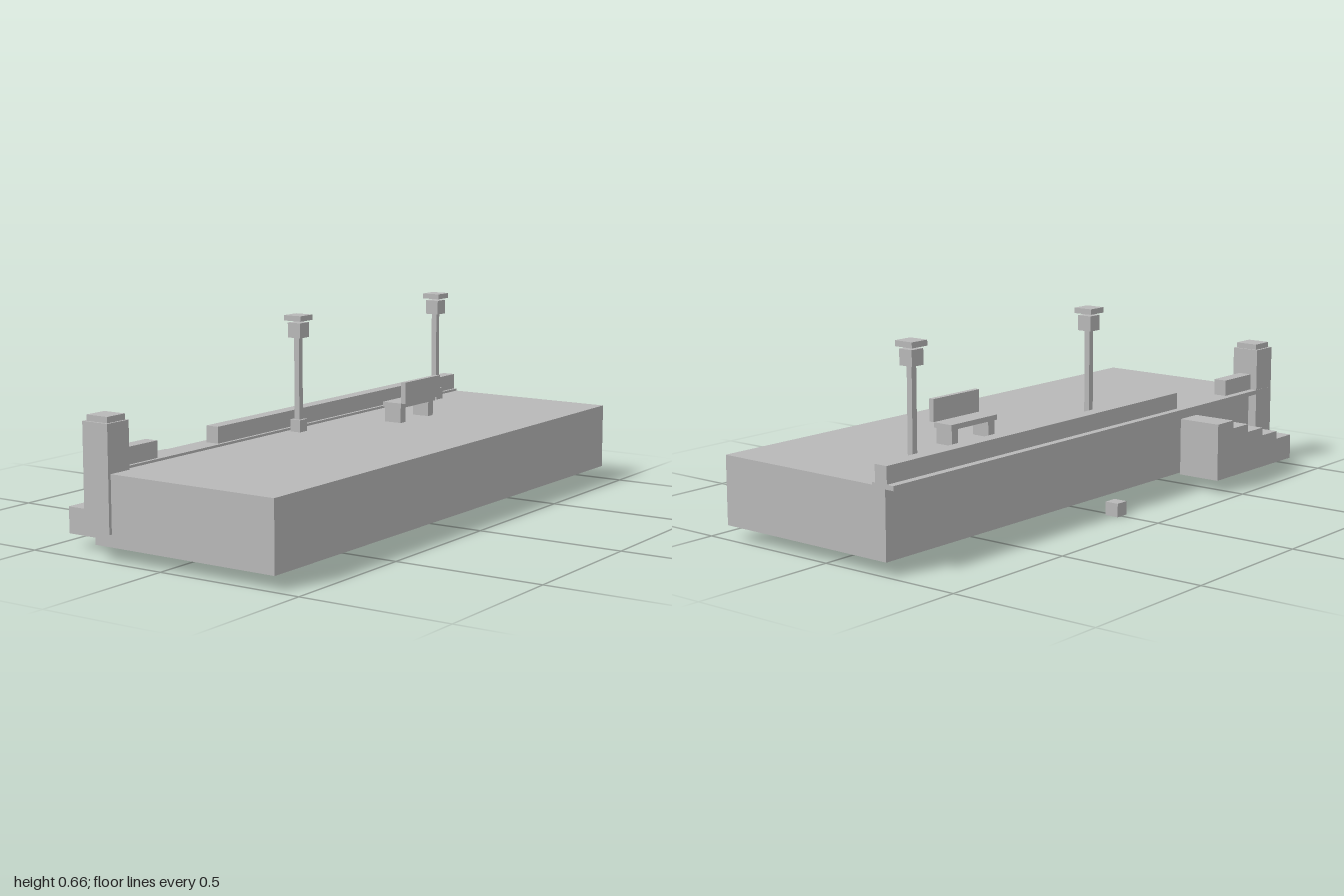
import * as THREE from 'three';

export function createModel() {
  const model = new THREE.Group();
  model.name = 'promenade';
  const stone = new THREE.MeshStandardMaterial({ color: 0xb8b8b8 });
  stone.name = 'grey stone';

  // Everything shares one very slight turn about the vertical axis
  const site = new THREE.Group();
  site.name = 'site';
  site.rotation.y = -0.01;
  model.add(site);

  // Box given by its limits on each axis
  function block(parent, name, [x0, x1], [y0, y1], [z0, z1]) {
    const mesh = new THREE.Mesh(new THREE.BoxGeometry(x1 - x0, y1 - y0, z1 - z0), stone);
    mesh.position.set((x0 + x1) / 2, (y0 + y1) / 2, (z0 + z1) / 2);
    mesh.name = name;
    parent.add(mesh);
    return mesh;
  }
  const around = (c, w) => [c - w / 2, c + w / 2];

  // Quay slab with overhanging coping and a broken parapet
  block(site, 'quaySlab', [-0.255, 0.42], [0.045, 0.269], [-0.998, 0.987]);
  block(site, 'coping', [-0.288, -0.204], [0.262, 0.277], [-0.998, 0.985]);
  block(site, 'longParapet', [-0.262, -0.215], [0.277, 0.332], [-0.998, 0.442]);
  block(site, 'shortParapet', [-0.262, -0.215], [0.277, 0.332], [0.74, 0.91]);

  // Corner pillar with cap
  block(site, 'pillar', [-0.287, -0.188], [0.085, 0.422], [0.902, 0.998]);
  block(site, 'pillarCap', [-0.278, -0.196], [0.422, 0.441], [0.909, 0.989]);

  // Stairs rising towards the back, as one stepped profile
  const zFront = 0.917, tread = 0.0926, steps = 5;
  const profile = new THREE.Shape();
  profile.moveTo(-zFront, 0.045);
  for (let i = 0; i < steps; i++) {
    const y = 0.13 + i * 0.0275;
    profile.lineTo(-zFront + i * tread, y);
    profile.lineTo(-zFront + (i + 1) * tread, y);
  }
  profile.lineTo(-zFront + steps * tread, 0.045);
  const stairs = new THREE.Mesh(
    new THREE.ExtrudeGeometry(profile, { depth: 0.154, bevelEnabled: false }), stone);
  stairs.name = 'stairs';
  stairs.rotation.y = Math.PI / 2;
  stairs.position.x = -0.425;
  site.add(stairs);

  // Small loose block beside the quay
  block(site, 'mooringBlock', [-0.355, -0.306], [0, 0.045], [-0.017, 0.031]);

  // Two lamp posts
  for (const z of [0.067, -0.788]) {
    const lamp = new THREE.Group();
    lamp.name = 'lampPost';
    lamp.position.set(-0.1685, 0, z);
    site.add(lamp);
    const parts = [
      ['lampBase', 0.04, 0.269, 0.31],
      ['lampShaft', 0.02, 0.31, 0.586],
      ['lampHead', 0.05, 0.586, 0.636],
      ['lampCap', 0.067, 0.643, 0.661],
    ];
    for (const [name, w, y0, y1] of parts) block(lamp, name, around(0, w), [y0, y1], around(0, w));
  }

  // Bench facing the parapet
  const bench = new THREE.Group();
  bench.name = 'bench';
  bench.position.set(-0.007, 0, -0.364);
  site.add(bench);
  block(bench, 'benchSeat', around(0, 0.074), [0.321, 0.338], around(0, 0.22));
  block(bench, 'benchBack', [0.038, 0.056], [0.338, 0.412], around(0, 0.22));
  for (const side of [-1, 1]) {
    block(bench, 'benchLeg', around(0, 0.064), [0.269, 0.321], around(side * 0.088, 0.03));
  }

  return model;
}
